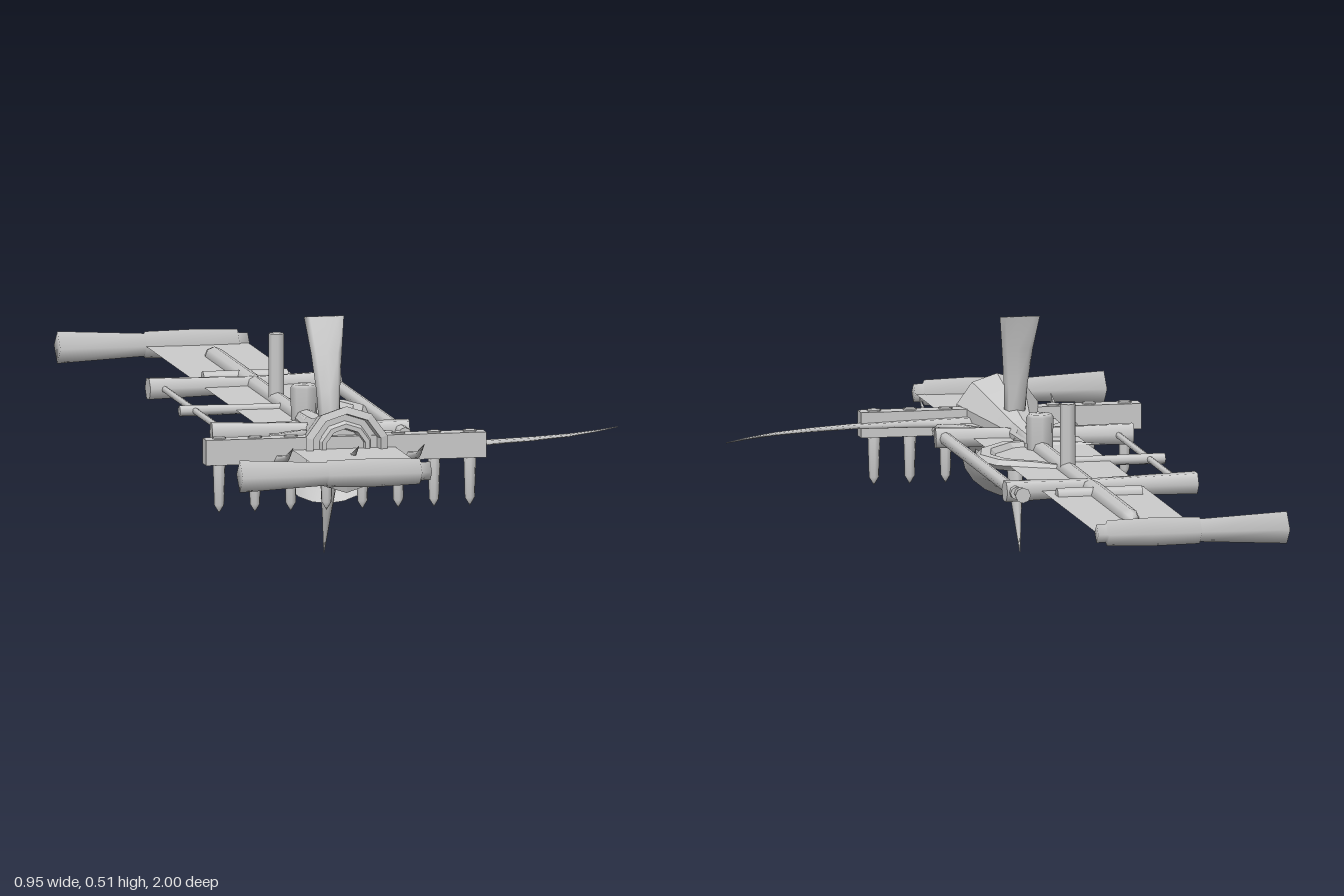
import * as THREE from 'three';

const CX = -0.175, CY = 0.26;
const V = (x, y, z) => new THREE.Vector3(x, y, z);

export function createModel() {
  const model = new THREE.Group();
  model.name = 'weaponSet';
  const smooth = new THREE.MeshStandardMaterial({ color: 0xcccccc, side: THREE.DoubleSide });
  const faceted = new THREE.MeshStandardMaterial({ color: 0xcccccc, side: THREE.DoubleSide, flatShading: true });

  const add = (name, geometry, material = faceted) => {
    const mesh = new THREE.Mesh(geometry, material);
    mesh.name = name;
    model.add(mesh);
    return mesh;
  };

  // Tapered rod between two points
  const rod = (name, a, b, ra, rb = ra, sides = 8, material = smooth) => {
    const mesh = add(name, new THREE.CylinderGeometry(rb, ra, a.distanceTo(b), sides), material);
    mesh.position.copy(a).lerp(b, 0.5);
    mesh.quaternion.setFromUnitVectors(V(0, 1, 0), b.clone().sub(a).normalize());
    return mesh;
  };

  // Lathe profile of [radius, height] pairs; axis 'y' or turned along +z
  const turned = (name, profile, sides, axis, material = smooth) => {
    const g = new THREE.LatheGeometry(profile.map(([r, h]) => new THREE.Vector2(r, h)), sides);
    if (axis === 'z') g.rotateX(Math.PI / 2);
    if (axis === 'x') g.rotateZ(-Math.PI / 2);
    return add(name, g, material);
  };

  // Loft of elliptical sections [x, y, z, halfU, halfV] spanned by directions u and v
  const loft = (name, sections, u, v, sides = 6, material = smooth) => {
    const pos = [], index = [];
    sections.forEach(([x, y, z, a, b], i) => {
      for (let j = 0; j < sides; j++) {
        const t = (j / sides) * Math.PI * 2;
        const p = V(x, y, z).addScaledVector(u, a * Math.cos(t)).addScaledVector(v, b * Math.sin(t));
        pos.push(p.x, p.y, p.z);
        if (i === 0) continue;
        const k = (j + 1) % sides, p0 = (i - 1) * sides, p1 = i * sides;
        index.push(p0 + j, p0 + k, p1 + j, p0 + k, p1 + k, p1 + j);
      }
    });
    for (let j = 1; j < sides - 1; j++) {
      const e = (sections.length - 1) * sides;
      index.push(0, j + 1, j, e, e + j, e + j + 1);
    }
    const g = new THREE.BufferGeometry();
    g.setAttribute('position', new THREE.Float32BufferAttribute(pos, 3));
    g.setIndex(index);
    g.computeVertexNormals();
    return add(name, g, material);
  };
  const X = V(1, 0, 0), Y = V(0, 1, 0), Z = V(0, 0, 1);

  // Scroll: flat sheet with a four-sided roller and flared handle at each end
  const sheet = add('scrollSheet', new THREE.PlaneGeometry(0.226, 1.9));
  sheet.rotation.x = -Math.PI / 2;
  sheet.position.set(-0.177, CY, 0);
  for (const s of [1, -1]) {
    const roller = turned('scrollRoller', [[0, -0.48], [0.035, -0.48], [0.025, -0.29], [0.029, -0.288],
      [0.031, -0.18], [0.028, -0.085], [0.02, -0.082], [0.02, -0.062], [0, -0.062]], 4, 'x');
    roller.position.set(0, CY, s * 0.965);
  }

  // Staff with short guard, post and collar
  turned('staffShaft', [[0, -0.81], [0.015, -0.8], [0.021, -0.77], [0.021, -0.38], [0.019, -0.36],
    [0.019, 0.15], [0.026, 0.2], [0.032, 0.3], [0, 0.3]], 8, 'z').position.set(CX, CY, 0);
  rod('shortGuard', V(-0.268, CY, -0.45), V(-0.082, CY, -0.45), 0.017);
  rod('post', V(CX, CY, -0.117), V(CX, 0.405, -0.117), 0.017);
  turned('collar', [[0, 0.165], [0.027, 0.192], [0.03, 0.33], [0.025, 0.337], [0, 0.337]], 8, 'y')
    .position.set(CX, 0, 0.175);

  // Flared bell head with nested stepped mouth
  turned('bellHead', [[0.026, 0.2], [0.03, 0.28], [0.036, 0.36], [0.05, 0.43], [0.074, 0.53],
    [0.094, 0.625], [0.078, 0.63], [0.074, 0.605], [0.06, 0.605], [0.055, 0.62], [0.045, 0.62],
    [0.04, 0.59], [0.018, 0.59], [0, 0.56]], 10, 'z', faceted).position.set(CX, CY, 0);

  // Axe blade above and spike below the head
  loft('upperBlade', [[CX, 0.27, 0.445, 0.022, 0.028], [CX, 0.36, 0.43, 0.026, 0.02],
    [CX, 0.44, 0.412, 0.034, 0.01], [CX, 0.515, 0.385, 0.044, 0.002]], X, Z, 8);
  loft('lowerSpike', [[CX, 0.25, 0.445, 0.022, 0.03], [CX, 0.14, 0.43, 0.016, 0.02],
    [CX, 0.08, 0.412, 0.009, 0.01], [CX, 0.002, 0.385, 0.001, 0.001]], X, Z, 8);

  // Curved trough under the head, swept from front to back
  const trough = new THREE.PlaneGeometry(1, 1, 10, 5);
  const tp = trough.attributes.position;
  for (let i = 0; i < tp.count; i++) {
    const t = tp.getX(i) * Math.PI, s = tp.getY(i) + 0.5;
    const half = 0.112 - 0.045 * s * s;
    tp.setXYZ(i, CX + half * Math.sin(t),
      0.205 - 0.02 * s - (0.09 - 0.045 * s) * Math.cos(t) + 0.012 * Math.sin(s * Math.PI),
      0.43 + 0.035 * (1 - Math.cos(t)) - 0.16 * s);
  }
  trough.computeVertexNormals();
  add('lowerTrough', trough, smooth);

  // Rake: crossbar, row of pointed teeth with rivets, curved blade
  const bar = add('rakeBar', new THREE.CylinderGeometry(0.039, 0.039, 0.615, 4, 1));
  bar.geometry.rotateY(Math.PI / 4).rotateZ(Math.PI / 2).scale(1, 1, 0.72);
  bar.position.set(-0.172, 0.259, 0.588);
  for (let i = 0; i < 8; i++) {
    const x = -0.447 + i * 0.0786;
    turned('rakeTooth', [[0, 0.125], [0.011, 0.143], [0.014, 0.24], [0, 0.24]], 8, 'y').position.set(x, 0, 0.588);
    rod('rakeRivet', V(x, 0.28, 0.588), V(x, 0.29, 0.588), 0.015);
  }
  loft('scytheBlade', [[-0.12, CY, 0.565, 0.025, 0.012], [0.02, CY, 0.566, 0.028, 0.008],
    [0.15, CY - 0.002, 0.566, 0.024, 0.005], [0.25, CY - 0.002, 0.538, 0.021, 0.004],
    [0.34, CY - 0.002, 0.5, 0.016, 0.003], [0.41, CY - 0.002, 0.452, 0.01, 0.002],
    [0.467, CY - 0.002, 0.402, 0.001, 0.001]], V(-0.3, 0, 0.95), Y);

  // Trident with two curved outer tines and a centre tine
  for (const s of [1, -1]) {
    loft('outerTine', [[CX, 0.255, 0.36, 0.016, 0.016], [CX + s * 0.07, 0.258, 0.4, 0.022, 0.014],
      [CX + s * 0.125, 0.262, 0.46, 0.019, 0.013], [CX + s * 0.142, 0.25, 0.53, 0.014, 0.014],
      [CX + s * 0.144, 0.238, 0.61, 0.011, 0.012], [CX + s * 0.144, 0.255, 0.69, 0.006, 0.007],
      [CX + s * 0.144, 0.285, 0.752, 0.001, 0.001]], X, Y);
  }
  loft('centreTine', [[CX, 0.25, 0.4, 0.015, 0.015], [CX, 0.236, 0.61, 0.011, 0.012],
    [CX, 0.255, 0.69, 0.007, 0.007], [CX, 0.285, 0.752, 0.001, 0.001]], X, Y);

  // Frame: two slanted limbs joined by thin rods
  for (const s of [1, -1]) {
    rod('frameLimb', V(-0.412, CY, s * 0.335), V(CX, CY, s * 0.35), 0.026, 0.02, 6).scale.z = 0.9;
    rod('frameLimb', V(CX, CY, s * 0.35), V(0.015, CY, s * 0.367), 0.02, 0.025, 6).scale.z = 0.9;
  }
  rod('leftRod', V(-0.005, CY, -0.4), V(-0.005, CY, 0.425), 0.014);
  rod('leftRodKnob', V(-0.012, CY, -0.39), V(-0.012, CY, -0.432), 0.012, 0.017);
  rod('rightRod', V(-0.378, CY, -0.325), V(-0.378, CY, 0.325), 0.007);
  rod('middleRod', V(-0.412, CY, -0.003), V(CX, CY, -0.003), 0.012, 0.01);

  // Sickle: crescent hoop with a tail point
  const arc = [[-0.19, -0.1, 0.006], [-0.12, -0.055, 0.016], [-0.055, -0.01, 0.021], [-0.032, 0.06, 0.022],
    [-0.05, 0.14, 0.021], [-0.11, 0.215, 0.02], [-0.18, 0.243, 0.019], [-0.26, 0.232, 0.013], [-0.328, 0.208, 0.001]];
  loft('sickleHoop', arc.map(([x, z, r], i) => {
    const t = i < 6 ? 1 : (8 - i) / 3 + 0.05;
    return [x, CY, z, r * 1.1, 0.013 * Math.min(t, 1)];
  }).map((s, i) => i === 0 ? [s[0], s[1], s[2], 0.01, 0.006] : s), V(0.7, 0, -0.7), Y, 6, faceted)
    .geometry.computeVertexNormals();
  // Cross-sections follow the hoop's outward direction
  const hoop = model.children[model.children.length - 1].geometry;
  const hp = hoop.attributes.position;
  arc.forEach(([x, z, r], i) => {
    const a = arc[Math.max(i - 1, 0)], b = arc[Math.min(i + 1, arc.length - 1)];
    const n = new THREE.Vector2(b[1] - a[1], a[0] - b[0]).normalize();
    for (let j = 0; j < 6; j++) {
      const c = r * Math.cos((j / 6) * Math.PI * 2);
      hp.setX(i * 6 + j, x + n.x * c);
      hp.setZ(i * 6 + j, z + n.y * c);
    }
  });
  hoop.computeVertexNormals();
  return model;
}
